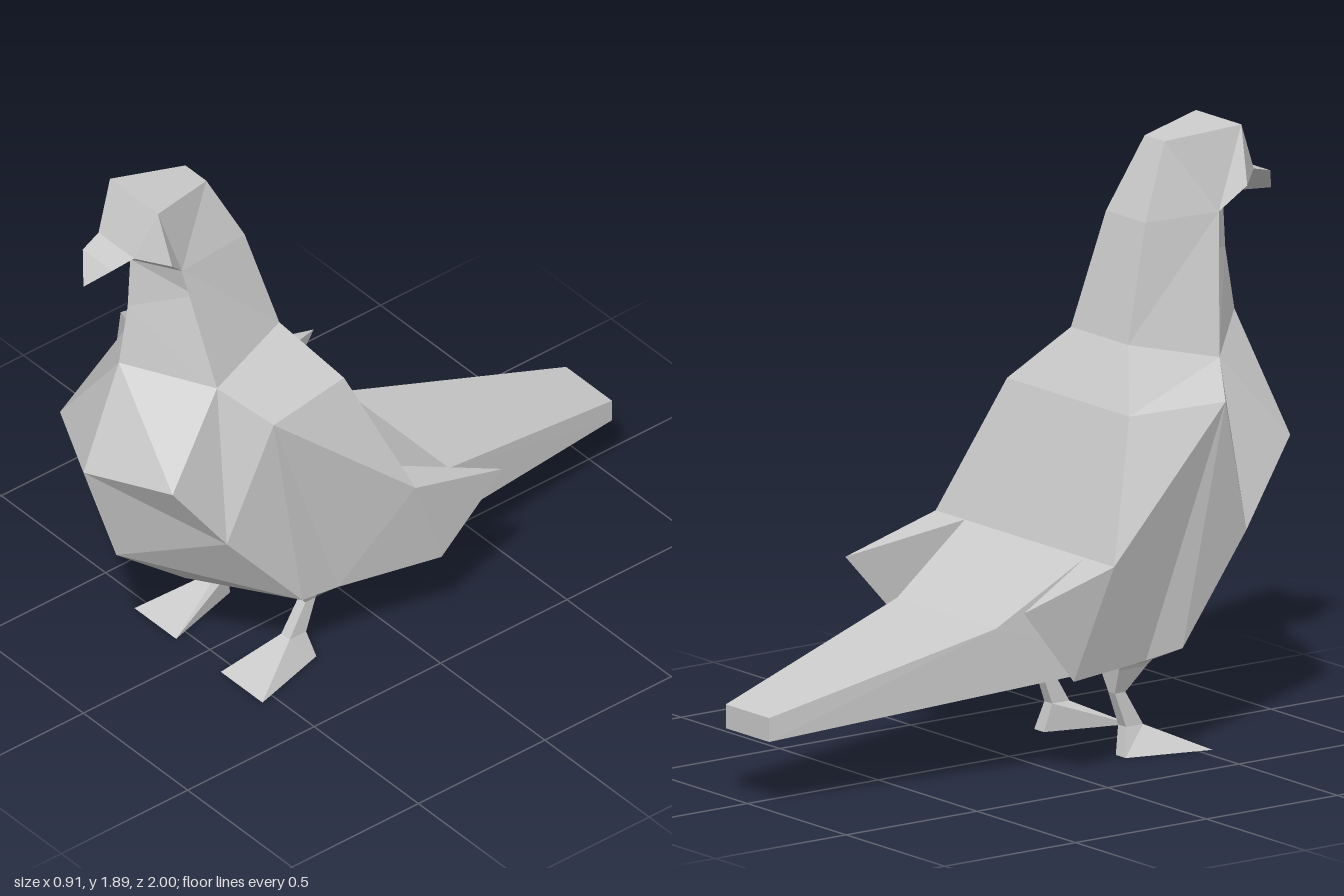
import * as THREE from 'three';

const v = (x, y, z) => [x, y, z];
const mid = ([, y, z]) => [0, y, z]; // same point on the centre plane
const flip = ([x, y, z]) => [-x, y, z];
const material = new THREE.MeshStandardMaterial({ color: 0xcccccc, flatShading: true });

// Flat-shaded mesh from polygons, each split as a fan from its first corner
function panelMesh(name, panels) {
  const pos = [];
  for (const p of panels)
    for (let i = 1; i < p.length - 1; i++) pos.push(...p[0], ...p[i], ...p[i + 1]);
  const geometry = new THREE.BufferGeometry();
  geometry.setAttribute('position', new THREE.Float32BufferAttribute(pos, 3));
  geometry.computeVertexNormals();
  const mesh = new THREE.Mesh(geometry, material);
  mesh.name = name;
  return mesh;
}
// Mirrored panels keep their first corner, so both sides fold alike
const mirrorPanels = (panels) =>
  panels.map(([first, ...rest]) => [first, ...rest.reverse()].map(flip));
const symmetric = (name, half) => panelMesh(name, [...half, ...mirrorPanels(half.map((p) => [...p]))]);

// Strip from the centre plane out to an edge running front to back
const centreStrip = (edge) =>
  edge.slice(1).map((p, i) => [edge[i], p, mid(p), mid(edge[i])]);

export function createModel() {
  const bird = new THREE.Group();
  bird.name = 'bird';

  // Centre line of the front, from chin down to belly
  const chin = v(0, 1.655, 0.815), throat = v(0, 1.48, 0.825), collar = v(0, 1.28, 0.86);
  const breast = v(0, 0.925, 1), belly = v(0, 0.545, 0.87), vent = v(0, 0.325, 0.6);
  const underRear = v(0, 0.29, 0.06);

  // Points of the +x half
  const neckFront = v(0.21, 1.2, 0.645), neckBack = v(0.145, 1.27, 0.345);
  const chest = v(0.27, 0.935, 0.87), flank = v(0.3, 0.67, 0.68), hip = v(0.335, 0.345, 0.41);
  const shoulder = v(0.367, 1.105, 0.55), back = v(0.31, 1.095, 0.225), rump = v(0.453, 0.675, 0.06);
  const wingLow = v(0.335, 0.327, 0.27), wingRear = v(0.42, 0.327, -0.07), wingTip = v(0.453, 0.58, -0.285);
  const tailRoot = v(0.305, 0.675, 0.06), tailBend = v(0.25, 0.485, -0.24);
  const tailTop = v(0.11, 0.29, -1), tailBottom = v(0.11, 0.215, -1);
  const underFront = v(0.21, 0.28, 0.33);
  const throatSide = v(0.13, 1.52, 0.665), jaw = v(0.12, 1.63, 0.71), nape = v(0.1, 1.63, 0.445);
  const crownBack = v(0.05, 1.86, 0.555), crownFront = v(0.115, 1.89, 0.8), cheek = v(0.165, 1.71, 0.785);
  const beakBase = v(0.085, 1.735, 0.87), beakBend = v(0.07, 1.715, 0.945), beakTip = v(0, 1.64, 1);

  bird.add(symmetric('body', [
    [collar, breast, chest, neckFront],
    [breast, belly, flank, chest],
    [belly, vent, hip, flank],
    [neckFront, chest, flank, shoulder],
    [shoulder, flank, hip, wingLow],
    [shoulder, wingLow, rump],
    [shoulder, rump, back],
    [neckFront, shoulder, back, neckBack],
    ...centreStrip([neckBack, back, rump]),
    // underside
    [vent, underFront, hip],
    [hip, underFront, wingLow],
    [vent, underRear, underFront],
    [underFront, underRear, wingLow],
  ]));

  bird.add(symmetric('neck', [
    [throat, collar, neckFront, throatSide],
    [chin, throat, throatSide, jaw],
    [jaw, throatSide, neckFront, neckBack, nape, crownBack],
    ...centreStrip([nape, neckBack]),
  ]));

  bird.add(symmetric('head', [
    [jaw, crownBack, crownFront, cheek],
    [crownFront, beakBase, cheek],
    [mid(crownFront), mid(beakBase), beakBase, crownFront],
    [beakBase, chin, jaw, cheek],
    ...centreStrip([crownFront, crownBack, nape]),
  ]));

  bird.add(symmetric('beak', [
    [beakBase, mid(beakBase), mid(beakBend), beakBend],
    [beakBend, mid(beakBend), beakTip],
    [beakBase, beakBend, beakTip, chin],
  ]));

  bird.add(symmetric('tail', [
    ...centreStrip([tailRoot, tailBend, tailTop, tailBottom]),
    [tailBend, tailRoot, wingLow, tailBottom, tailTop],
    [underRear, mid(tailBottom), tailBottom, wingLow],
  ]));

  // Wing ends standing off the tail
  const wing = [
    [rump, wingTip, tailRoot],
    [rump, wingLow, wingRear, wingTip],
    [tailRoot, wingTip, wingRear, wingLow],
  ];
  bird.add(panelMesh('leftWing', wing), panelMesh('rightWing', mirrorPanels(wing)));

  // Leg sections from thigh to sole: centre x, y, front half width, front z, back half width, back z
  const rings = [
    [0.187, 0.32, 0.07, 0.375, 0.07, 0.235],
    [0.187, 0.28, 0.05, 0.345, 0.05, 0.24],
    [0.187, 0.2, 0.017, 0.29, 0.017, 0.25],
    [0.187, 0.09, 0.02, 0.355, 0.02, 0.29],
    [0.207, 0, 0.1, 0.545, 0.025, 0.27],
  ].map(([x, y, fx, fz, bx, bz]) =>
    [v(x - fx, y, fz), v(x + fx, y, fz), v(x + bx, y, bz), v(x - bx, y, bz)]);
  const leg = [rings[0], [...rings[4]].reverse()];
  for (let r = 0; r < 4; r++)
    for (let i = 0; i < 4; i++) {
      const j = (i + 1) % 4;
      leg.push([rings[r][i], rings[r + 1][i], rings[r + 1][j], rings[r][j]]);
    }
  bird.add(panelMesh('leftLeg', leg), panelMesh('rightLeg', mirrorPanels(leg)));
  return bird;
}
